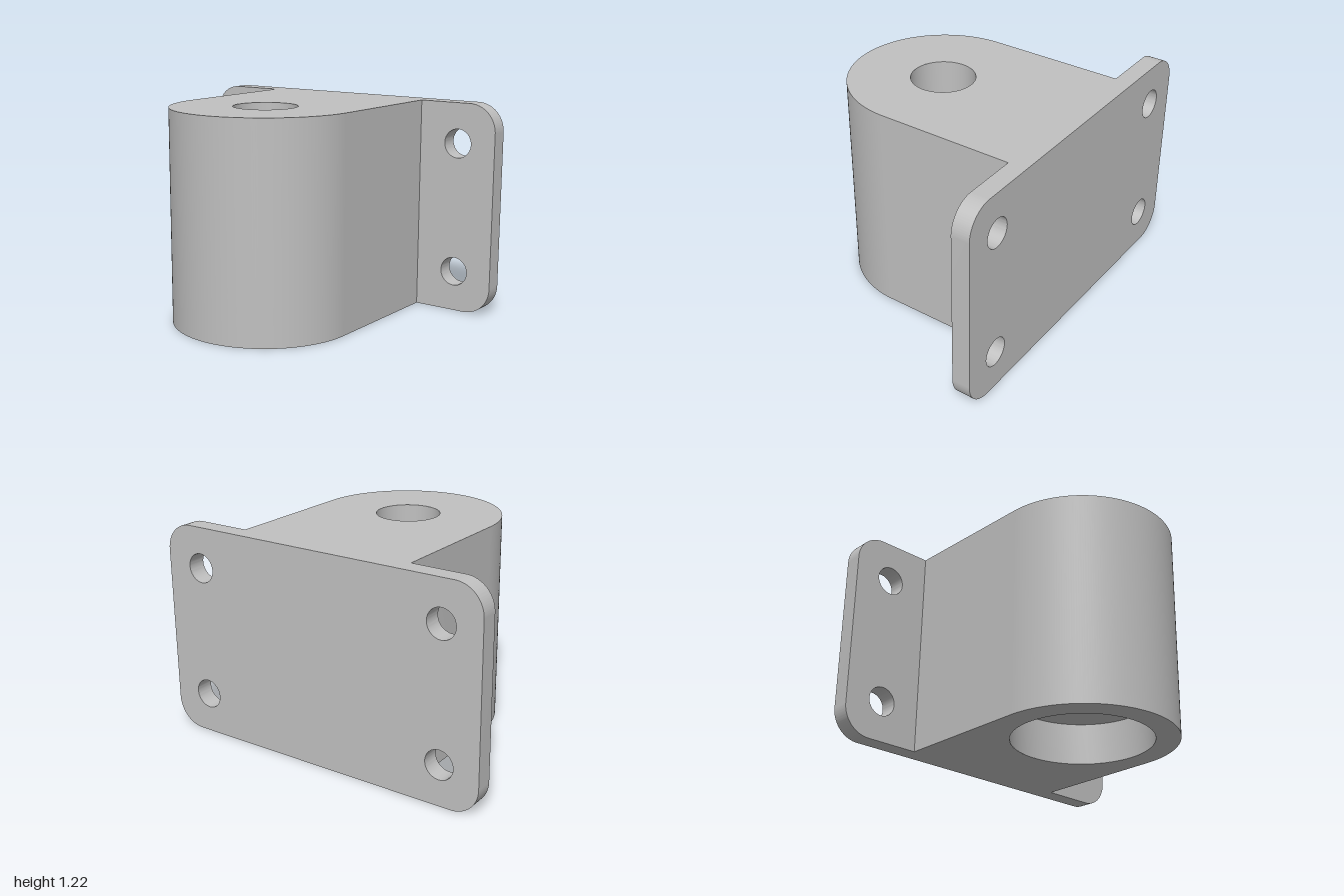
import * as THREE from 'three';
import { toCreasedNormals } from 'three/addons/utils/BufferGeometryUtils.js';

const H = 1.215;                       // overall height
const BACK = -0.71, PLATE_T = 0.105;   // mounting plate
const R = 0.53, CZ = 0.18;             // rounded nose of the body
const HOLE = 0.18, BORE = 0.394, BORE_DEPTH = 0.24;
const CREASE = Math.PI / 6;

function addHole(shape, x, y, r) {
  const hole = new THREE.Path();
  hole.absarc(x, y, r, 0, Math.PI * 2, true);
  shape.holes.push(hole);
}

// Plan of the body: straight sides and a half-round nose
// (shape y is z times dir, so it can be laid facing up or down)
function bodyPlan(dir, holeRadius) {
  const s = new THREE.Shape();
  const back = (BACK + PLATE_T) * dir;
  s.moveTo(-R, back);
  s.lineTo(-R, CZ * dir);
  s.absarc(0, CZ * dir, R, Math.PI, 0, dir > 0);
  s.lineTo(R, back);
  s.closePath();
  if (holeRadius) addHole(s, 0, CZ * dir, holeRadius);
  return s;
}

// Only the side walls of an extrusion
function wallsOnly(geometry) {
  const { start, count } = geometry.groups[1];
  const p = geometry.attributes.position.array;
  const g = new THREE.BufferGeometry();
  g.setAttribute('position', new THREE.BufferAttribute(p.slice(start * 3, (start + count) * 3), 3));
  return g;
}

export function createModel() {
  const model = new THREE.Group();
  model.name = 'bracket';
  const metal = new THREE.MeshStandardMaterial({ color: 0xc0c0c0 });
  metal.name = 'grey metal';

  const add = (name, geometry, parent) => {
    const mesh = new THREE.Mesh(toCreasedNormals(geometry, CREASE), metal);
    mesh.name = name;
    parent.add(mesh);
    return mesh;
  };

  // Mounting plate with rounded corners and four screw holes
  const c = 0.16;
  const plate = new THREE.Shape();
  plate.absarc(1 - c, c, c, -Math.PI / 2, 0);
  plate.absarc(1 - c, H - c, c, 0, Math.PI / 2);
  plate.absarc(c - 1, H - c, c, Math.PI / 2, Math.PI);
  plate.absarc(c - 1, c, c, Math.PI, Math.PI * 1.5);
  plate.closePath();
  for (const x of [-0.77, 0.77])
    for (const dy of [-0.375, 0.375]) addHole(plate, x, H / 2 + dy, 0.083);
  const plateGeo = new THREE.ExtrudeGeometry(plate, { depth: PLATE_T, bevelEnabled: false, curveSegments: 32 });
  add('mountingPlate', plateGeo.translate(0, 0, BACK), model);

  // Body: outer wall, top and bottom faces, stepped bore
  const body = new THREE.Group();
  body.name = 'body';
  model.add(body);

  const solid = new THREE.ExtrudeGeometry(bodyPlan(-1), { depth: H, bevelEnabled: false, curveSegments: 64 });
  add('bodyWall', wallsOnly(solid).rotateX(-Math.PI / 2), body);

  const top = new THREE.ShapeGeometry(bodyPlan(-1, HOLE), 64);
  add('bodyTop', top.rotateX(-Math.PI / 2).translate(0, H, 0), body);

  const bottom = new THREE.ShapeGeometry(bodyPlan(1, BORE), 64);
  add('bodyBottom', bottom.rotateX(Math.PI / 2), body);

  // Narrow through hole opening into a wide recess underneath
  const profile = [[HOLE, H], [HOLE, BORE_DEPTH], [BORE, BORE_DEPTH], [BORE, 0]]
    .map(([x, y]) => new THREE.Vector2(x, y));
  add('steppedBore', new THREE.LatheGeometry(profile, 64).translate(0, 0, CZ), body);

  return model;
}
